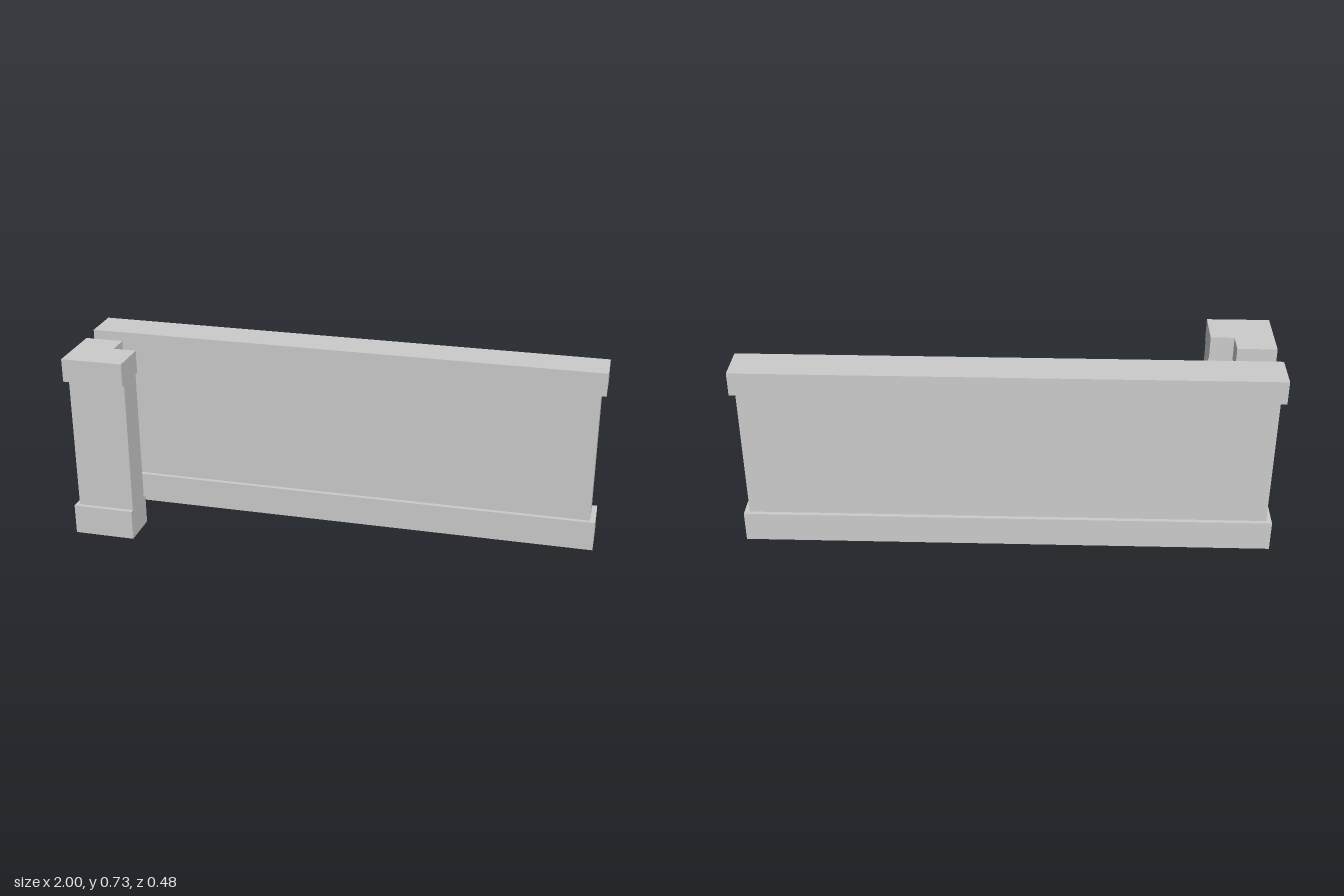
import * as THREE from 'three';

const material = new THREE.MeshStandardMaterial({ color: 0xcccccc, flatShading: true });

// Vertical layers shared by both pieces: name, bottom, top, inset flag
const layers = [
  ['Base', 0, 0.118, 0],
  ['Body', 0.118, 0.64, 1],
  ['Cap', 0.64, 0.73, 0],
];

// Straight wall layer
function wallLayer(y0, y1, inset) {
  const halfX = inset ? 0.98 : 1;
  const [z0, z1] = inset ? [-0.224, -0.107] : [-0.24, -0.09];
  const geometry = new THREE.BoxGeometry(halfX * 2, y1 - y0, z1 - z0);
  return geometry.translate(0, (y0 + y1) / 2, (z0 + z1) / 2);
}

// L-shaped corner layer; its two arm ends stay flush
function cornerLayer(y0, y1, inset) {
  const [left, front] = inset ? [-0.974, 0.224] : [-0.99, 0.24];
  const [innerX, innerZ] = inset ? [-0.859, 0.107] : [-0.842, 0.09];
  const right = -0.753, back = 0.003;
  // Drawn in x and -z, then laid flat and extruded upwards
  const shape = new THREE.Shape([
    [left, front], [right, front], [right, innerZ],
    [innerX, innerZ], [innerX, back], [left, back],
  ].map(([x, z]) => new THREE.Vector2(x, -z)));
  const geometry = new THREE.ExtrudeGeometry(shape, { depth: y1 - y0, bevelEnabled: false });
  return geometry.rotateX(-Math.PI / 2).translate(0, y0, 0);
}

export function createModel() {
  const model = new THREE.Group();
  model.name = 'parapetSet';
  for (const [piece, build] of [['wall', wallLayer], ['corner', cornerLayer]]) {
    const group = new THREE.Group();
    group.name = piece;
    for (const [part, y0, y1, inset] of layers) {
      const mesh = new THREE.Mesh(build(y0, y1, inset), material);
      mesh.name = piece + part;
      group.add(mesh);
    }
    model.add(group);
  }
  return model;
}
